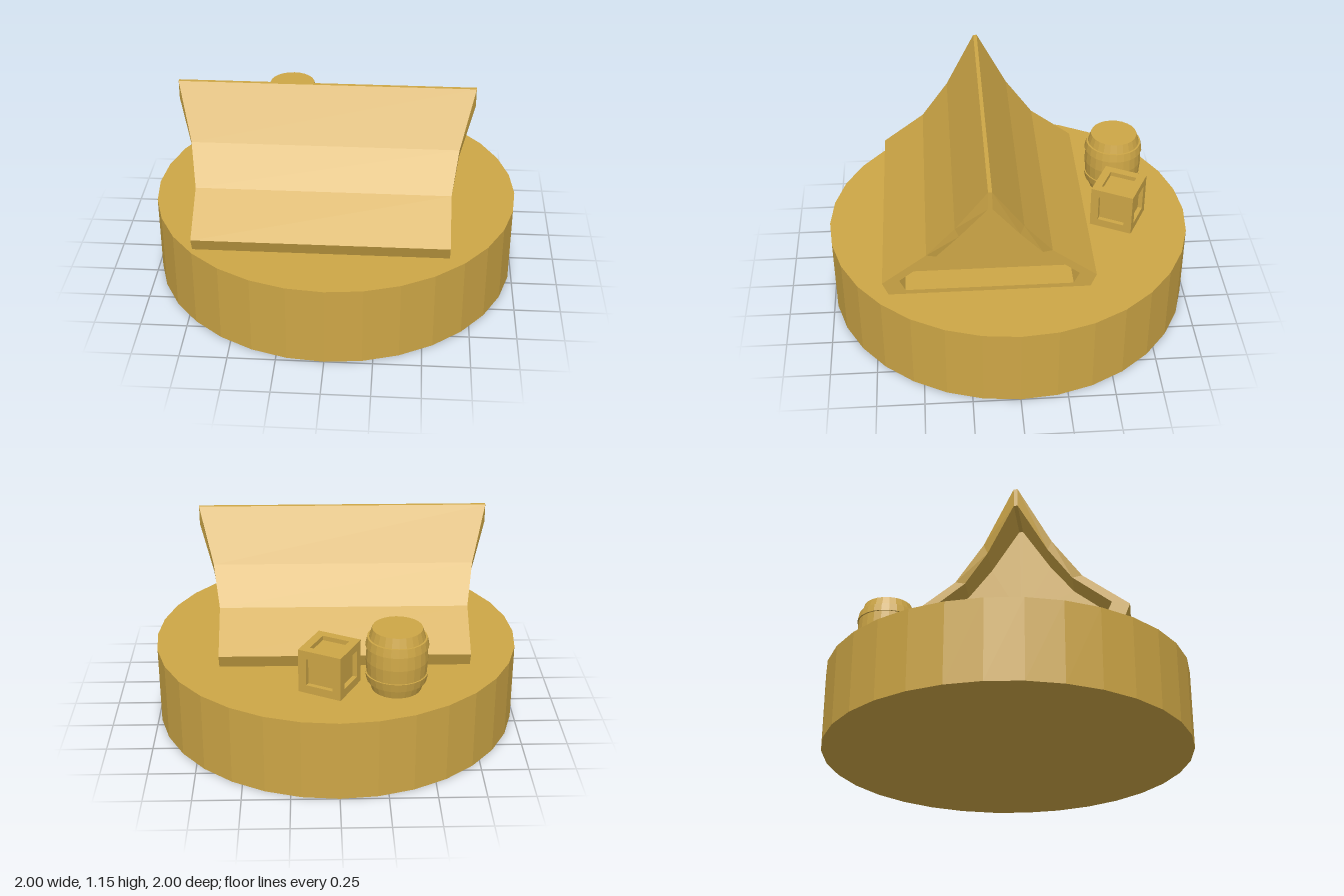
import * as THREE from 'three';

const ochre = new THREE.MeshStandardMaterial({ color: 0xcda646, flatShading: true });
ochre.name = 'ochre';
const GROUND = 0.44;

function part(name, geometry, x, y, z) {
  const mesh = new THREE.Mesh(geometry, ochre);
  mesh.name = name;
  mesh.position.set(x, y, z);
  return mesh;
}

// Half profile rows [half width z, height y, half length x], mirrored over the ridge
const mirrored = rows => [...rows, ...rows.slice().reverse().map(([z, y, x]) => [-z, y, x])];

// Tent: one skin through rings, running from one recessed end wall to the other
function tentGeometry() {
  const outer = mirrored([[0.53, 0, 0.67], [0.56, 0.075, 0.67], [0.325, 0.25, 0.67], [0.175, 0.44, 0.705], [0.01, 0.715, 0.785]]);
  const inner = mirrored([[0.44, 0.025, 0.67], [0.47, 0.09, 0.67], [0.275, 0.24, 0.67], [0.155, 0.39, 0.705], [0.01, 0.615, 0.785]]);
  const wallX = 0.52;
  const ring = (profile, side, x) => profile.map(([z, y, end]) => [side * (x ?? end), y, z]);
  const rings = [
    ring(inner, -1, wallX), ring(inner, -1), ring(outer, -1),
    ring(outer, 1), ring(inner, 1), ring(inner, 1, wallX),
  ];
  const n = outer.length;
  const positions = rings.flat(2);
  const index = [];
  for (let r = 0; r < rings.length - 1; r++) {
    for (let j = 0; j < n; j++) {
      const k = (j + 1) % n;
      const a = r * n + j, b = a + n, c = r * n + k, d = c + n;
      index.push(a, b, d, a, d, c);
    }
  }
  // End walls as fans around a middle point
  const centre = rings.length * n;
  positions.push(-wallX, 0.11, 0, wallX, 0.11, 0);
  const last = (rings.length - 1) * n;
  for (let j = 0; j < n; j++) {
    const k = (j + 1) % n;
    index.push(centre, j, k, centre + 1, last + k, last + j);
  }
  const geometry = new THREE.BufferGeometry();
  geometry.setAttribute('position', new THREE.Float32BufferAttribute(positions, 3));
  geometry.setIndex(index);
  const flat = geometry.toNonIndexed();
  flat.computeVertexNormals();
  return flat;
}

// Barrel: bulging staves with two raised hoops
function barrelGeometry() {
  const profile = [
    [0, 0], [0.13, 0], [0.145, 0.05], [0.155, 0.05], [0.164, 0.095], [0.156, 0.095],
    [0.161, 0.17],
    [0.156, 0.245], [0.164, 0.245], [0.155, 0.29], [0.145, 0.29], [0.13, 0.34], [0, 0.34],
  ];
  return new THREE.LatheGeometry(profile.map(p => new THREE.Vector2(...p)), 24);
}

// Crate: core box inside a frame of posts and rails
function createCrate() {
  const size = 0.24, beam = 0.045, inset = 0.025;
  const crate = new THREE.Group();
  crate.name = 'crate';
  const core = size - 2 * inset;
  crate.add(part('cratePanels', new THREE.BoxGeometry(core, core, core), 0, 0, 0));
  const edge = (size - beam) / 2, span = size - 2 * beam;
  for (const a of [-edge, edge]) {
    for (const b of [-edge, edge]) {
      crate.add(part('cratePost', new THREE.BoxGeometry(beam, size, beam), a, 0, b));
      crate.add(part('crateRail', new THREE.BoxGeometry(span, beam, beam), 0, a, b));
      crate.add(part('crateRail', new THREE.BoxGeometry(beam, beam, span), a, b, 0));
    }
  }
  crate.position.set(0.045, GROUND + size / 2, -0.615);
  crate.rotation.y = -0.47;
  return crate;
}

export function createModel() {
  const model = new THREE.Group();
  model.name = 'campsite';
  model.add(part('base', new THREE.CylinderGeometry(1, 1, GROUND, 32), 0, GROUND / 2, 0));
  model.add(part('tent', tentGeometry(), -0.04, GROUND, 0.137));
  model.add(part('barrel', barrelGeometry(), -0.3, GROUND, -0.627));
  model.add(createCrate());
  return model;
}
